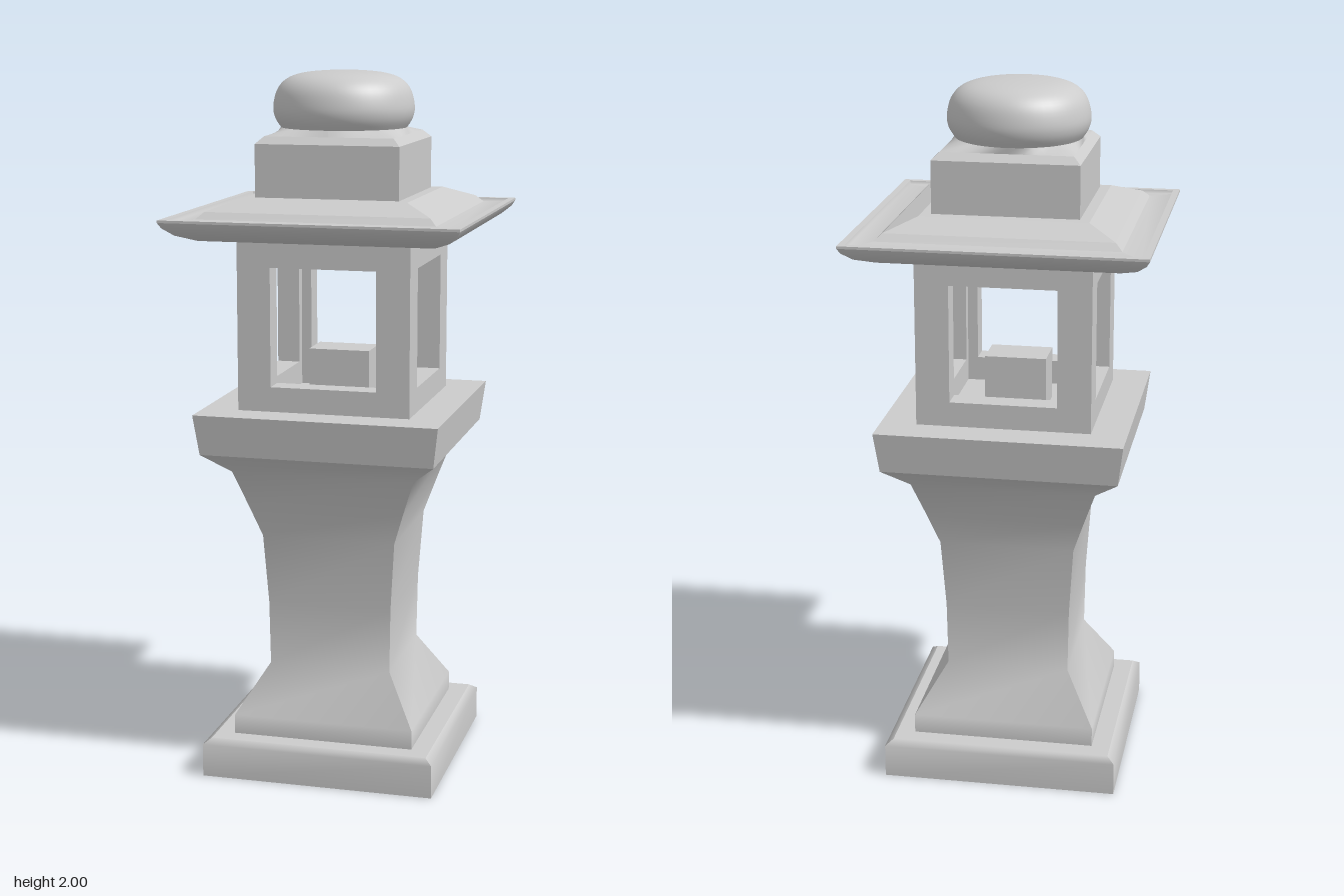
import * as THREE from 'three';

const material = new THREE.MeshStandardMaterial({ color: 0xcccccc, side: THREE.DoubleSide });

function addMesh(parent, name, geometry, x = 0, y = 0, z = 0) {
  const mesh = new THREE.Mesh(geometry, material);
  mesh.name = name;
  mesh.position.set(x, y, z);
  parent.add(mesh);
  return mesh;
}

// Square loft from bands of [halfWidth, y], listed bottom to top.
// Normals are smooth along a band, sharp at the four corners and between bands.
function squareLoft(bands) {
  const pos = [], index = [];
  for (const band of bands) {
    for (let side = 0; side < 4; side++) {
      const c = Math.round(Math.cos(side * Math.PI / 2));
      const s = Math.round(Math.sin(side * Math.PI / 2));
      const start = pos.length / 3;
      band.forEach(([h, y], i) => {
        for (const x of [-h, h]) pos.push(x * c + h * s, y, h * c - x * s);
        if (i === 0) return;
        const a = start + (i - 1) * 2;
        index.push(a, a + 1, a + 3, a, a + 3, a + 2);
      });
    }
  }
  const geo = new THREE.BufferGeometry();
  geo.setAttribute('position', new THREE.Float32BufferAttribute(pos, 3));
  geo.setIndex(index);
  geo.computeVertexNormals();
  return geo;
}

// Skirt blending a square rim into a round one
function squareToRound(half, y0, radius, y1, cx, cz, n = 48) {
  const pos = [], index = [];
  for (let i = 0; i <= n; i++) {
    const a = (i / n) * Math.PI * 2;
    const sx = Math.sin(a), cz0 = Math.cos(a);
    const k = half / Math.max(Math.abs(sx), Math.abs(cz0));
    pos.push(sx * k, y0, cz0 * k, cx + sx * radius, y1, cz + cz0 * radius);
    if (i < n) {
      const b = i * 2;
      index.push(b, b + 2, b + 3, b, b + 3, b + 1);
    }
  }
  const geo = new THREE.BufferGeometry();
  geo.setAttribute('position', new THREE.Float32BufferAttribute(pos, 3));
  geo.setIndex(index);
  geo.computeVertexNormals();
  return geo;
}

// Wall panel with a square window
function windowWall(halfWidth, height, open, sill, lintel, depth) {
  const shape = new THREE.Shape([
    new THREE.Vector2(-halfWidth, 0), new THREE.Vector2(halfWidth, 0),
    new THREE.Vector2(halfWidth, height), new THREE.Vector2(-halfWidth, height),
  ]);
  shape.holes.push(new THREE.Path([
    new THREE.Vector2(-open, sill), new THREE.Vector2(-open, lintel),
    new THREE.Vector2(open, lintel), new THREE.Vector2(open, sill),
  ]));
  return new THREE.ExtrudeGeometry(shape, { depth, bevelEnabled: false });
}

export function createModel() {
  const lantern = new THREE.Group();
  lantern.name = 'stoneLantern';

  // Plinth
  addMesh(lantern, 'plinth', squareLoft([
    [[0, 0], [0.336, 0]],
    [[0.336, 0], [0.336, 0.095], [0.315, 0.11]],
    [[0.315, 0.11], [0, 0.11]],
  ]));

  // Waisted pedestal flaring into the platform
  addMesh(lantern, 'pedestal', squareLoft([
    [[0.262, 0.11], [0.262, 0.165], [0.177, 0.305], [0.18, 0.49], [0.193, 0.69],
      [0.225, 0.785], [0.262, 0.89], [0.333, 0.95]],
    [[0.333, 0.95], [0.348, 1.065]],
    [[0.348, 1.065], [0, 1.065]],
  ]));

  // Light chamber: four window walls around an open interior
  const chamber = new THREE.Group();
  chamber.name = 'lightChamber';
  chamber.position.y = 1.065;
  lantern.add(chamber);
  const half = 0.246, wall = 0.066;
  for (let i = 0; i < 4; i++) {
    const holder = new THREE.Group();
    holder.name = 'chamberWall';
    holder.rotation.y = i * Math.PI / 2;
    chamber.add(holder);
    const width = i % 2 ? half - wall : half;
    addMesh(holder, 'windowWall', windowWall(width, 0.478, 0.151, 0.07, 0.405, wall), 0, 0, half - wall);
  }
  addMesh(chamber, 'lampBlock', new THREE.BoxGeometry(0.176, 0.15, 0.116), -0.003, 0.075, 0);

  // Roof with curved underside, eave lip, shallow gutter and raised slope
  addMesh(lantern, 'roof', squareLoft([
    [[0, 1.54], [0.25, 1.54], [0.33, 1.549], [0.38, 1.568], [0.407, 1.59], [0.416, 1.605]],
    [[0.416, 1.605], [0.416, 1.612]],
    [[0.416, 1.612], [0.397, 1.612]],
    [[0.397, 1.612], [0.394, 1.602], [0.335, 1.608]],
    [[0.335, 1.608], [0.315, 1.627]],
    [[0.315, 1.627], [0.233, 1.658]],
    [[0.233, 1.658], [0, 1.66]],
  ]));

  // Square cap block with bevelled rim
  addMesh(lantern, 'capBlock', squareLoft([
    [[0.204, 1.655], [0.204, 1.805]],
    [[0.204, 1.805], [0.183, 1.825]],
  ]));

  // Round finial on a square-to-round collar
  const fx = -0.005, fz = -0.007;
  addMesh(lantern, 'finialCollar', squareToRound(0.183, 1.825, 0.178, 1.842, fx, fz));
  const curve = new THREE.SplineCurve([
    [0.178, 1.842], [0.194, 1.868], [0.199, 1.9], [0.188, 1.945],
    [0.162, 1.975], [0.12, 1.991], [0.06, 1.998], [0, 2],
  ].map(([x, y]) => new THREE.Vector2(x, y)));
  const profile = curve.getPoints(28);
  profile.forEach((p) => { p.x = Math.max(p.x, 0); });
  addMesh(lantern, 'finial', new THREE.LatheGeometry(profile, 48), fx, 0, fz);

  return lantern;
}
